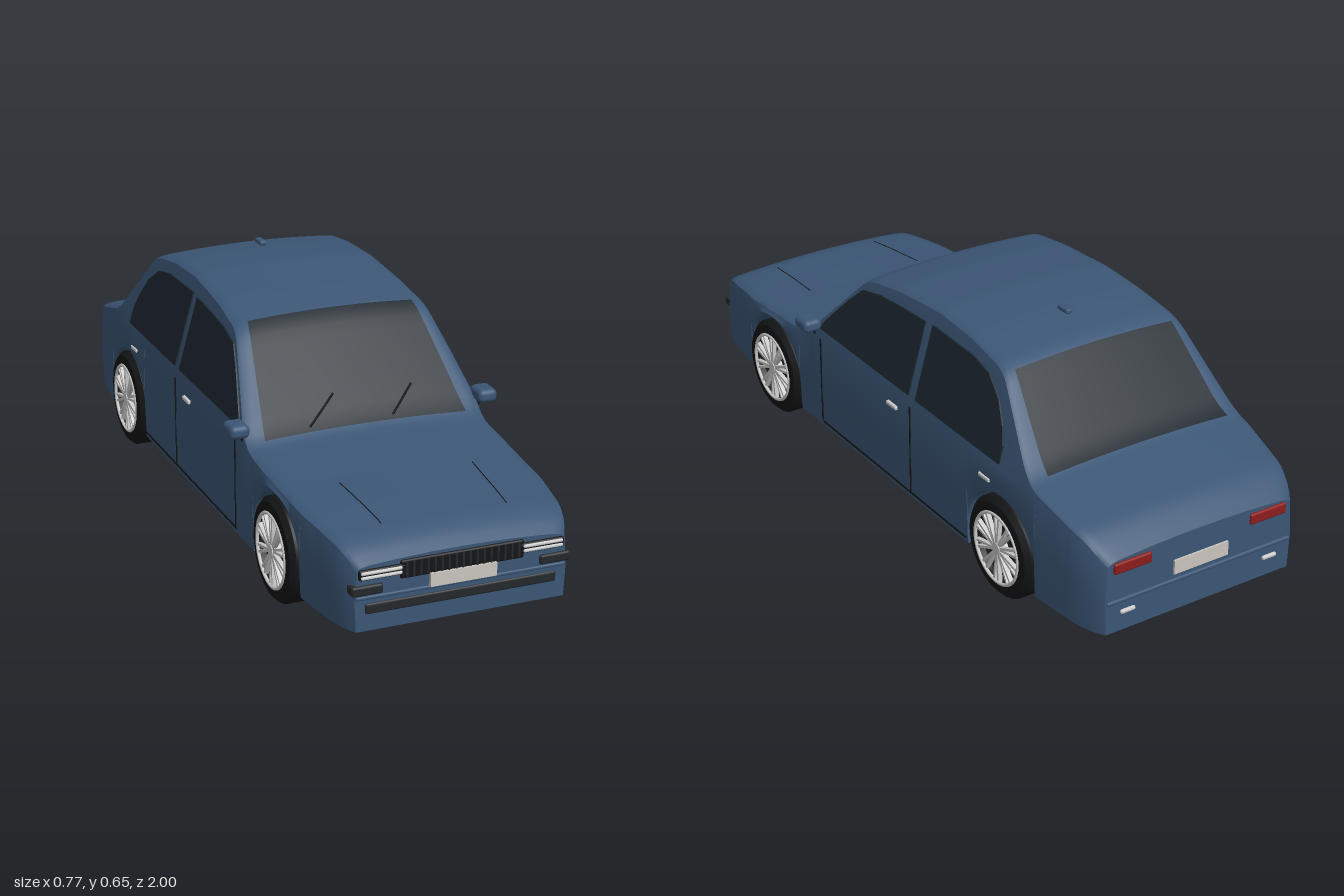
import * as THREE from 'three';
import { toCreasedNormals } from 'three/addons/utils/BufferGeometryUtils.js';
import { RoundedBoxGeometry } from 'three/addons/geometries/RoundedBoxGeometry.js';

const mat = (color, side = THREE.FrontSide) => new THREE.MeshStandardMaterial({ color, side });
const paint = mat(0x3b5675), glass = mat(0x1c262e), black = mat(0x141517), trim = mat(0x24282c);
const silver = mat(0xcccccc), plateMat = mat(0xc9c5bd), red = mat(0x8c1c1c);

const FLOOR = 0.075, AXLE = 0.595, WHEEL_Y = 0.143, ARCH = 0.153, BELT = 0.37, LEAN = 0.28;

// Centre-line height and half width along the length, as [z, value]
const TOP = [[-0.99, 0.29], [-0.97, 0.312], [-0.92, 0.347], [-0.72, 0.403], [-0.68, 0.432], [-0.52, 0.607],
  [-0.48, 0.624], [-0.35, 0.643], [-0.2, 0.65], [0, 0.633], [0.14, 0.608], [0.17, 0.588], [0.39, 0.363],
  [0.42, 0.352], [0.6, 0.333], [0.8, 0.317], [0.91, 0.304], [0.96, 0.282], [0.985, 0.255]];
const WIDTH = [[-0.99, 0.29], [-0.97, 0.308], [-0.9, 0.328], [-0.75, 0.342], [-0.55, 0.345], [0.5, 0.345],
  [0.75, 0.338], [0.9, 0.318], [0.96, 0.302], [0.985, 0.285]];

function lookup(table, z) {
  if (z <= table[0][0]) return table[0][1];
  for (let i = 1; i < table.length; i++) {
    const [z0, a] = table[i - 1], [z1, b] = table[i];
    if (z <= z1) return a + (b - a) * (z - z0) / (z1 - z0);
  }
  return table[table.length - 1][1];
}
const smooth = (table, z) => (lookup(table, z - 0.015) + 2 * lookup(table, z) + lookup(table, z + 0.015)) / 4;

// Shoulder, roof edge and crown of the body at one station
function frame(z) {
  const top = smooth(TOP, z), w = smooth(WIDTH, z);
  const s = Math.min(BELT, top - 0.025), sx = w - 0.006;
  return { top, w, s, sx, ex: sx - LEAN * (top - 0.02 - s) };
}
function topAt(x, z) {
  const f = frame(z);
  return f.top - 0.01 * (x / (f.ex - 0.03)) ** 2;
}

// Closed ring of body points; b is the lower edge of the flank, raised over the wheels
function section(z, b) {
  const { w, s, sx, ex, top } = frame(z);
  const half = [[0, FLOOR], [0.25, FLOOR], [0.25, b], [w - 0.004, b], [w, b + (s - b) * 0.5], [sx, s], [ex, top - 0.02]];
  for (let k = 6; k > 0; k--) {
    const x = (ex - 0.03) * k / 6;
    half.push([x, topAt(x, z)]);
    if (k === 6) half.splice(-1, 0, [ex - 0.01, top - 0.0135]);
  }
  half.push([0, top]);
  const other = half.slice(1, -1).reverse().map(([x, y]) => [-x, y]);
  return [...half, ...other].map(([x, y]) => [x, y, z]);
}

function bodyGeometry() {
  const stations = [];
  for (let i = 0; i <= 100; i++) {
    const z = -0.99 + 1.975 * i / 100;
    if (Math.abs(Math.abs(z) - AXLE) > ARCH + 0.002) stations.push([z, FLOOR]);
  }
  for (const c of [-AXLE, AXLE]) {
    for (let k = 0; k <= 24; k++) {
      const a = Math.PI * k / 24;
      stations.push([c - ARCH * Math.cos(a), WHEEL_Y + ARCH * Math.sin(a)]);
    }
    stations.push([c - ARCH - 0.0002, FLOOR], [c + ARCH + 0.0002, FLOOR]);
  }
  stations.sort((p, q) => p[0] - q[0]);
  const rings = stations.map(([z, b]) => section(z, b));
  const n = rings[0].length, last = rings.length - 1, pos = [];
  const tri = (...pts) => pts.forEach(p => pos.push(...p));
  for (let j = 0; j < n; j++) {
    const k = (j + 1) % n;
    for (let i = 0; i < last; i++) {
      tri(rings[i][j], rings[i][k], rings[i + 1][k]);
      tri(rings[i][j], rings[i + 1][k], rings[i + 1][j]);
    }
    tri([0, 0.17, rings[0][0][2]], rings[0][k], rings[0][j]);
    tri([0, 0.17, rings[last][0][2]], rings[last][j], rings[last][k]);
  }
  const g = new THREE.BufferGeometry();
  g.setAttribute('position', new THREE.Float32BufferAttribute(pos, 3));
  return toCreasedNormals(g, 0.6);
}

function add(parent, name, geometry, material, x = 0, y = 0, z = 0) {
  const m = new THREE.Mesh(geometry, material);
  m.name = name;
  m.position.set(x, y, z);
  parent.add(m);
  return m;
}
const box = (w, h, d) => new THREE.BoxGeometry(w, h, d);
const rounded = (w, h, d, r) => new RoundedBoxGeometry(w, h, d, 3, r);
const rod = (pts, r) => new THREE.TubeGeometry(
  new THREE.CatmullRomCurve3(pts.map(p => new THREE.Vector3(...p))), 16, r, 6);

// Glass laid over the body from zFront to zBack
function screen(zFront, wFront, zBack, wBack) {
  const g = new THREE.PlaneGeometry(1, 1, 16, 12), p = g.attributes.position;
  for (let i = 0; i < p.count; i++) {
    const t = p.getY(i) + 0.5, z = zFront + (zBack - zFront) * t;
    const x = p.getX(i) * 2 * (wFront + (wBack - wFront) * t);
    p.setXYZ(i, x, topAt(x, z) + 0.007, z);
  }
  g.computeVertexNormals();
  return g;
}

// Side glass from a [z, y] outline, sheared to the lean of the cabin
function sideGlass(outline) {
  const shape = new THREE.Shape(outline.map(([z, y]) => new THREE.Vector2(-z, y)));
  const g = new THREE.ExtrudeGeometry(shape, { depth: 0.009, bevelEnabled: false });
  g.rotateY(Math.PI / 2);
  const p = g.attributes.position;
  for (let i = 0; i < p.count; i++) p.setX(i, p.getX(i) + 0.334 - LEAN * (p.getY(i) - BELT));
  g.computeVertexNormals();
  return g;
}

// Wheel with its outer face toward +x
function wheel(z) {
  const g = new THREE.Group();
  g.name = 'wheel';
  g.position.set(0.312, WHEEL_Y, z);
  const lathe = pts => new THREE.LatheGeometry(pts.map(p => new THREE.Vector2(...p)), 40).rotateZ(-Math.PI / 2);
  add(g, 'tire', toCreasedNormals(lathe([[0.09, -0.042], [0.125, -0.042], [0.141, -0.028], [0.141, 0.026],
    [0.128, 0.04], [0.102, 0.042], [0.098, 0.02]]), 0.5), black);
  add(g, 'wheelDisc', new THREE.CylinderGeometry(0.1, 0.1, 0.05, 32).rotateZ(Math.PI / 2), trim, -0.008);
  add(g, 'rim', new THREE.TorusGeometry(0.099, 0.005, 8, 40).rotateY(Math.PI / 2), silver, 0.041);
  add(g, 'hub', new THREE.CylinderGeometry(0.017, 0.021, 0.028, 20).rotateZ(-Math.PI / 2), silver, 0.03);
  for (let i = 0; i < 20; i++) {
    const a = Math.floor(i / 2) * Math.PI / 5 + (i % 2 ? 0.1 : -0.1);
    const spoke = add(g, 'spoke', box(0.012, 0.085, 0.007).translate(0, 0.056, 0), silver, 0.036);
    spoke.rotation.x = a;
  }
  return g;
}

// Everything that is mirrored, built for +x
function sideParts() {
  const g = new THREE.Group();
  g.name = 'leftSide';
  g.add(wheel(AXLE), wheel(-AXLE));
  add(g, 'frontSideWindow', sideGlass([[0.325, 0.383], [-0.145, 0.383], [-0.145, 0.588], [-0.03, 0.582],
    [0.08, 0.573], [0.165, 0.555], [0.22, 0.505], [0.31, 0.41]]), glass);
  add(g, 'rearSideWindow', sideGlass([[-0.18, 0.383], [-0.582, 0.383], [-0.58, 0.43], [-0.56, 0.475], [-0.52, 0.53],
    [-0.46, 0.572], [-0.38, 0.588], [-0.18, 0.592]]), glass);
  add(g, 'doorSeam', box(0.003, 0.26, 0.004), black, 0.3445, 0.225, -0.162);
  add(g, 'doorSeam', box(0.003, 0.26, 0.004), black, 0.3445, 0.225, 0.315);
  add(g, 'sillSeam', box(0.003, 0.005, 0.75), black, 0.3425, 0.09, -0.06);
  for (const z of [-0.07, -0.525]) add(g, 'doorHandle', rounded(0.012, 0.012, 0.05, 0.004), silver, 0.343, 0.32, z);
  add(g, 'mirror', rounded(0.056, 0.038, 0.07, 0.015), paint, 0.357, 0.391, 0.36);
  add(g, 'mirrorArm', rod([[0.325, 0.335, 0.35], [0.337, 0.36, 0.355], [0.352, 0.38, 0.36]], 0.007), black);
  add(g, 'hoodSeam', rod([0.65, 0.72, 0.8, 0.88].map((z, i) => {
    const x = 0.186 - i * 0.005;
    return [x, topAt(x, z), z];
  }), 0.0015), black);
  // Lights
  add(g, 'headlampHousing', rounded(0.125, 0.028, 0.04, 0.006), black, 0.216, 0.226, 0.972);
  for (const y of [0.22, 0.232]) add(g, 'headlamp', rounded(0.11, 0.009, 0.02, 0.004), silver, 0.219, y, 0.986);
  add(g, 'fogLamp', rounded(0.085, 0.027, 0.05, 0.007), trim, 0.255, 0.185, 0.967);
  add(g, 'tailLamp', rounded(0.115, 0.032, 0.03, 0.006), red, 0.213, 0.262, -0.982);
  add(g, 'rearReflector', rounded(0.045, 0.012, 0.02, 0.005), silver, 0.225, 0.13, -0.987);
  return g;
}

export function createModel() {
  const car = new THREE.Group();
  car.name = 'car';
  add(car, 'body', bodyGeometry(), paint);
  add(car, 'windshield', screen(0.395, 0.29, 0.14, 0.24), glass);
  add(car, 'rearWindow', screen(-0.52, 0.248, -0.725, 0.285), glass);

  const left = sideParts(), right = left.clone();
  right.name = 'rightSide';
  right.scale.x = -1;
  car.add(left, right);

  // Nose
  add(car, 'grille', rounded(0.335, 0.05, 0.03, 0.006), black, 0, 0.225, 0.976);
  for (let i = -8; i <= 8; i++) add(car, 'grilleSlat', box(0.005, 0.04, 0.008), trim, i * 0.019, 0.225, 0.99);
  add(car, 'lowerGrille', rounded(0.52, 0.029, 0.02, 0.006), trim, 0, 0.134, 0.979);
  add(car, 'frontPlate', box(0.18, 0.036, 0.01), plateMat, 0, 0.187, 0.993);
  add(car, 'frontBumperLip', rounded(0.57, 0.01, 0.02, 0.004), paint, 0, 0.164, 0.979);

  // Tail
  add(car, 'rearPlate', box(0.17, 0.04, 0.01), plateMat, 0, 0.205, -0.991);
  add(car, 'rearBumperLip', rounded(0.58, 0.012, 0.02, 0.005), paint, 0, 0.165, -0.986);

  // Wipers and roof antenna
  for (const [x0, x1] of [[-0.16, -0.07], [0.078, 0.157]]) {
    const zs = [0.385, 0.355, 0.325];
    add(car, 'wiper', rod(zs.map((z, i) => {
      const x = x0 + (x1 - x0) * i / 2;
      return [x, topAt(x, z) + 0.009, z];
    }), 0.003), black);
  }
  add(car, 'antenna', rounded(0.02, 0.014, 0.045, 0.005), paint, 0, 0.649, -0.385);
  return car;
}
